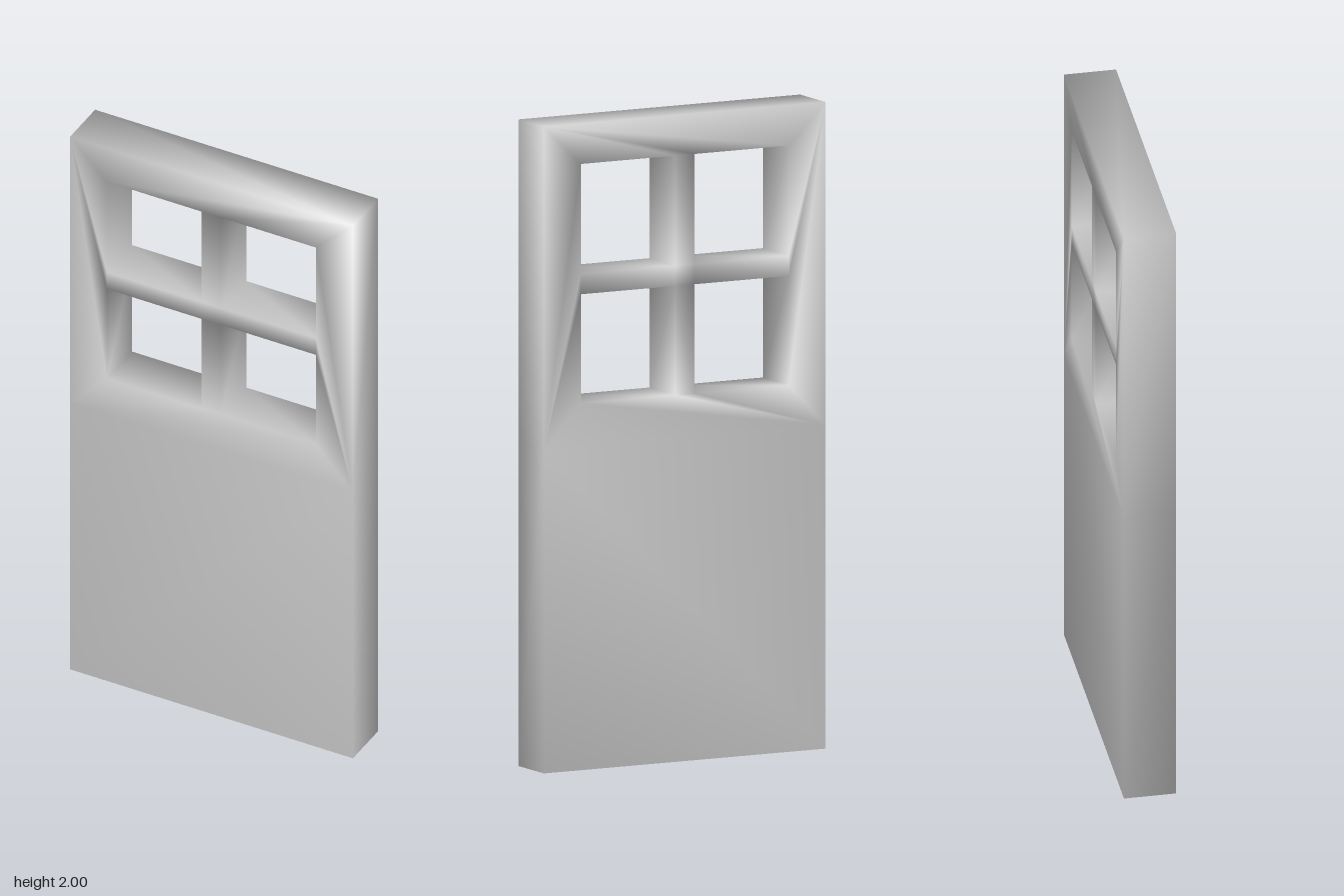
import * as THREE from 'three';

const W = 0.491, D = 0.081, SILL = 1.0, TOP = 2;
const GX = [-0.3625, -0.034, 0.034, 0.3625];   // window pane edges across
const GY = [1.135, 1.472, 1.535, 1.875];       // window pane edges upwards

// Welds a flat outline of polygons into a slab with shared, smooth vertices.
function slab(points, polygons, halfDepth) {
  const n = points.length, index = [], edges = new Set();
  for (const p of polygons) {
    for (let i = 1; i < p.length - 1; i++) {
      index.push(p[0], p[i], p[i + 1]);                 // front
      index.push(p[0] + n, p[i + 1] + n, p[i] + n);     // back
    }
    p.forEach((a, i) => edges.add(a + '_' + p[(i + 1) % p.length]));
  }
  // Walls along every edge that has no neighbouring polygon
  for (const e of edges) {
    const [a, b] = e.split('_').map(Number);
    if (!edges.has(b + '_' + a)) index.push(a, a + n, b + n, a, b + n, b);
  }
  const position = [halfDepth, -halfDepth].flatMap(z => points.flatMap(([x, y]) => [x, y, z]));
  const geometry = new THREE.BufferGeometry();
  geometry.setAttribute('position', new THREE.Float32BufferAttribute(position, 3));
  geometry.setIndex(index);
  geometry.computeVertexNormals();
  return geometry;
}

export function createModel() {
  const group = new THREE.Group();
  group.name = 'door';

  // Points 0-15: window grid, 16-19: frame corners, 20-21: foot of the door
  const points = [];
  for (const y of GY) for (const x of GX) points.push([x, y]);
  points.push([-W, SILL], [W, SILL], [W, TOP], [-W, TOP], [-W, 0], [W, 0]);

  const polygons = [
    [20, 21, 17, 16],            // lower panel
    [16, 17, 3, 2, 1, 0],        // bottom rail
    [17, 18, 15, 11, 7, 3],      // side stile
    [18, 19, 12, 13, 14, 15],    // top rail
    [19, 16, 0, 4, 8, 12],       // side stile
  ];
  // Cross bars between the four panes
  for (let r = 0; r < 3; r++) {
    for (let c = 0; c < 3; c++) {
      const i = r * 4 + c;
      if (r === 1 || c === 1) polygons.push([i, i + 1, i + 5, i + 4]);
    }
  }

  const material = new THREE.MeshStandardMaterial({ color: 0xcccccc });
  const door = new THREE.Mesh(slab(points, polygons, D), material);
  door.name = 'doorLeaf';
  group.add(door);
  return group;
}
